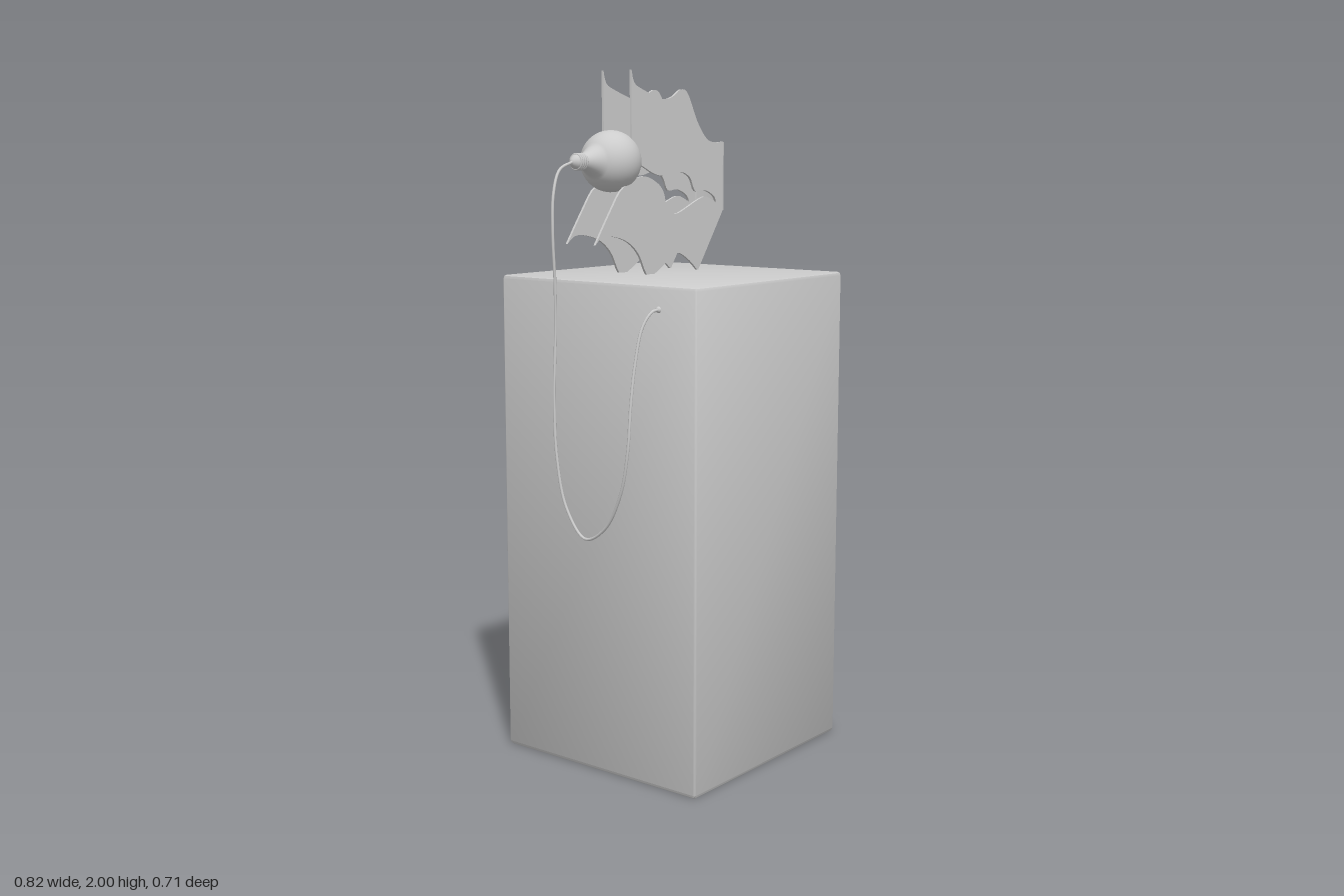
import * as THREE from 'three';
import { toCreasedNormals } from 'three/addons/utils/BufferGeometryUtils.js';

const gray = new THREE.MeshStandardMaterial({ color: 0xcccccc, side: THREE.DoubleSide });
gray.name = 'plain gray';

function part(name, geometry, parent) {
  const mesh = new THREE.Mesh(geometry, gray);
  mesh.name = name;
  parent.add(mesh);
  return mesh;
}

// Hollow box with softened edges and an open underside, from rounded rectangles
function pedestalGeometry(half, height) {
  const levels = [
    [half, height - 0.01], [0.01, height - 0.01], [0.01, 0.01], [0.008, 0.002], [0.006, 0], [0.003, 0.003],
    [0, 0.01], [0, height - 0.01], [0.003, height - 0.003], [0.01, height], [half, height],
  ];
  const steps = 4, count = 4 * (steps + 1), positions = [], index = [];
  for (const [inset, y] of levels) {
    const r = Math.max(0.0005, 0.012 - inset);
    const core = Math.max(0, half - inset - r);
    for (let c = 0; c < 4; c++) {
      const sx = c === 0 || c === 3 ? 1 : -1, sz = c < 2 ? 1 : -1;
      for (let s = 0; s <= steps; s++) {
        const a = (c + s / steps) * Math.PI / 2;
        positions.push(sx * core + r * Math.cos(a), y, sz * core + r * Math.sin(a));
      }
    }
  }
  for (let l = 0; l < levels.length - 1; l++) {
    for (let i = 0; i < count; i++) {
      const a = l * count + i, b = l * count + (i + 1) % count;
      index.push(a, a + count, b, b, a + count, b + count);
    }
  }
  const g = new THREE.BufferGeometry();
  g.setAttribute('position', new THREE.Float32BufferAttribute(positions, 3));
  g.setIndex(index);
  return toCreasedNormals(g, 0.7);
}

// Smooth wavy edge through a few points
function wave(pairs, divisions = 36) {
  return new THREE.SplineCurve(pairs.map(([x, y]) => new THREE.Vector2(x, y))).getPoints(divisions);
}

export function createModel() {
  const model = new THREE.Group();
  model.name = 'lampOnPedestal';

  part('pedestal', pedestalGeometry(0.355, 1.42), model).position.x = 0.054;

  // Torn sheet: wavy top, straight right side, wavy bottom, and a rip running in from the left
  const end = 0.333;
  const topEdge = wave([[-0.1, 2], [-0.088, 1.965], [-0.055, 1.948], [0.035, 1.922], [0.085, 1.928],
    [0.125, 1.95], [0.16, 1.938], [0.205, 1.86], [0.25, 1.81], [0.29, 1.798], [end, 1.8]]);
  const bottomEdge = wave([[0.21, 1.417], [0.16, 1.455], [0.105, 1.475], [0.04, 1.44], [-0.005, 1.418],
    [-0.035, 1.422], [-0.07, 1.48], [-0.12, 1.518], [-0.185, 1.536], [-0.23, 1.535], [-0.26, 1.515]]);
  const ripLower = wave([[-0.26, 1.515], [-0.195, 1.605], [-0.14, 1.67], [-0.055, 1.702], [0.01, 1.685],
    [0.045, 1.655], [0.063, 1.605], [0.1, 1.59], [0.15, 1.605], [0.205, 1.627], [0.25, 1.637], [0.3, 1.617]]);
  const ripUpper = wave([[0.3, 1.621], [0.285, 1.64], [0.24, 1.657], [0.195, 1.655], [0.17, 1.695],
    [0.125, 1.712], [0.075, 1.702], [0.01, 1.706], [-0.05, 1.73], [-0.1, 1.75]]);
  const sheet = new THREE.Shape([...topEdge, new THREE.Vector2(end, 1.592),
    ...bottomEdge, ...ripLower.slice(1), ...ripUpper]);

  const shade = new THREE.Group();
  shade.name = 'tornShade';
  model.add(shade);
  const thick = 0.007, front = -0.031, back = -0.142;
  const sheetGeometry = toCreasedNormals(
    new THREE.ExtrudeGeometry(sheet, { depth: thick, bevelEnabled: false }), 0.6);
  part('frontSheet', sheetGeometry, shade).position.z = front - thick;
  part('backSheet', sheetGeometry, shade).position.z = back;

  // Folded end joining both sheets, a channel with round corners
  const x1 = 0.343, r = 0.009, xi = x1 - thick, ri = 0.003;
  const fold = new THREE.Shape();
  fold.moveTo(end, -front);
  fold.lineTo(x1 - r, -front);
  fold.quadraticCurveTo(x1, -front, x1, -front + r);
  fold.lineTo(x1, -back - r);
  fold.quadraticCurveTo(x1, -back, x1 - r, -back);
  fold.lineTo(end, -back);
  fold.lineTo(end, -back - thick);
  fold.quadraticCurveTo(xi, -back - thick, xi, -back - thick - ri);
  fold.lineTo(xi, -front + thick + ri);
  fold.quadraticCurveTo(xi, -front + thick, end, -front + thick);
  const foldGeometry = new THREE.ExtrudeGeometry(fold, { depth: 0.205, bevelEnabled: false, curveSegments: 5 });
  foldGeometry.rotateX(-Math.PI / 2);
  part('foldedEnd', toCreasedNormals(foldGeometry, 0.6), shade).position.y = 1.594;

  // Light bulb lying on its side, base towards -x
  const bulb = new THREE.Group();
  bulb.name = 'bulb';
  bulb.position.set(-0.129, 1.745, -0.085);
  bulb.rotation.z = -Math.PI / 2;
  model.add(bulb);
  const R = 0.0875;
  const glass = [[0.02, -0.124], [0.023, -0.116], [0.03, -0.1], [0.04, -0.085]];
  for (let i = 0; i <= 24; i++) {
    const a = -1.03 + (Math.PI / 2 + 1.03) * i / 24;
    glass.push([Math.max(0, R * Math.cos(a)), R * Math.sin(a)]);
  }
  const lathe = (pts) => new THREE.LatheGeometry(pts.map(([x, y]) => new THREE.Vector2(x, y)), 40);
  part('glass', lathe(glass), bulb);
  part('socket', lathe([[0, -0.168], [0.009, -0.166], [0.018, -0.156], [0.022, -0.148], [0.022, -0.12], [0, -0.12]]), bulb);
  for (let i = 0; i < 4; i++) {
    const ring = part('thread', new THREE.TorusGeometry(0.021, 0.0035, 8, 32), bulb);
    ring.rotation.x = Math.PI / 2;
    ring.position.y = -0.148 + i * 0.008;
  }

  // Cord hanging in a long loop from the bulb to the side of the pedestal
  const cordPath = new THREE.CatmullRomCurve3([
    [-0.292, 1.745, -0.085], [-0.35, 1.723, -0.082], [-0.385, 1.66, -0.073], [-0.395, 1.55, -0.068],
    [-0.386, 1.42, -0.07], [-0.38, 1.29, -0.075], [-0.388, 1.1, -0.075], [-0.391, 0.93, -0.065],
    [-0.387, 0.79, -0.035], [-0.385, 0.71, 0.03], [-0.392, 0.75, 0.11], [-0.404, 0.86, 0.178],
    [-0.41, 0.98, 0.208], [-0.402, 1.1, 0.212], [-0.385, 1.21, 0.213], [-0.36, 1.31, 0.218],
    [-0.33, 1.35, 0.226], [-0.298, 1.355, 0.227],
  ].map((p) => new THREE.Vector3(...p)));
  part('cord', new THREE.TubeGeometry(cordPath, 140, 0.0042, 8), model);
  part('cordGrommet', new THREE.SphereGeometry(0.009, 16, 10), model).position.set(-0.3, 1.355, 0.227);

  return model;
}
